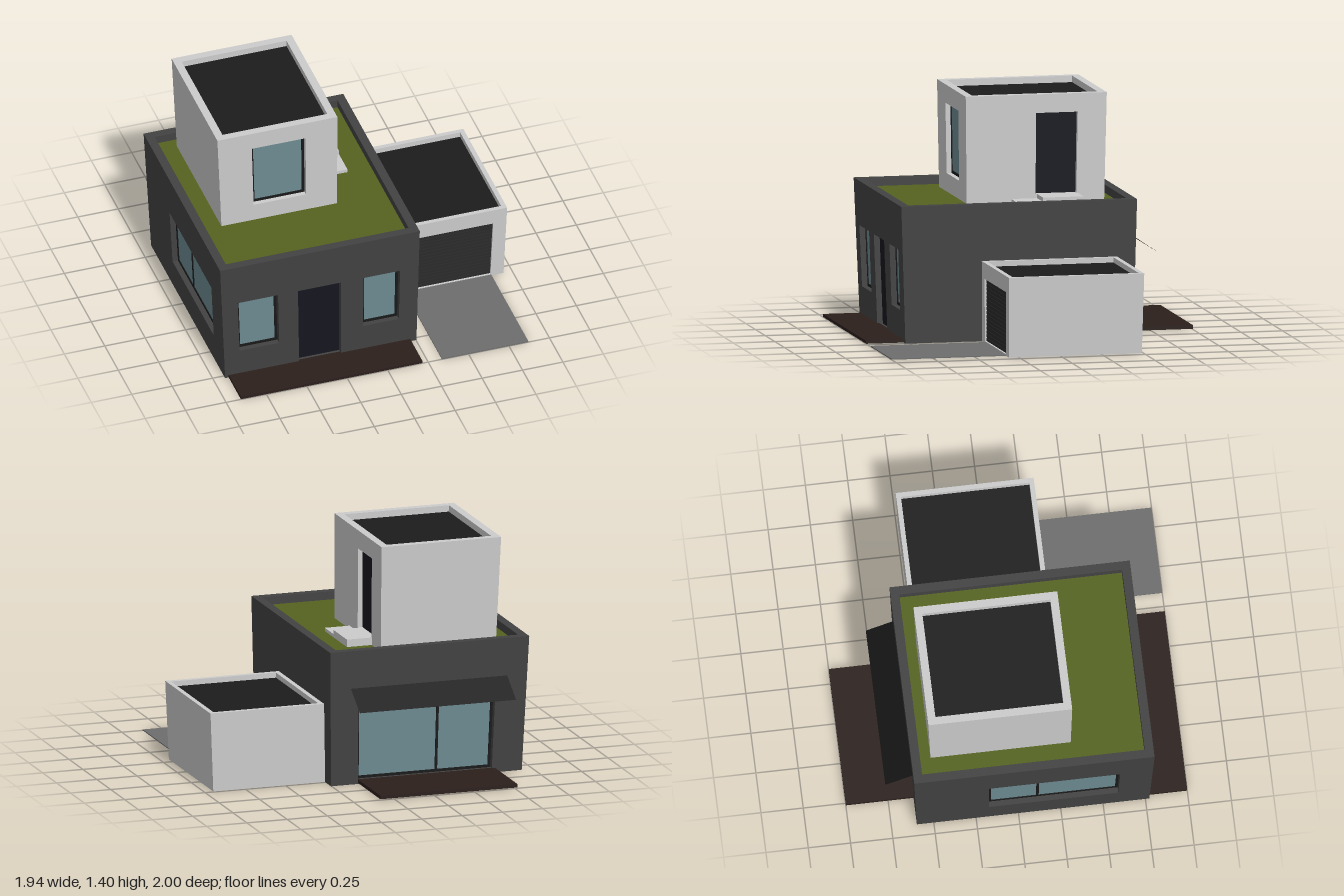
import * as THREE from 'three';

const mat = (color) => new THREE.MeshStandardMaterial({ color, flatShading: true });
const M = {
  light: mat(0xcccccc), dark: mat(0x424242), roof: mat(0x1c1c1c), grass: mat(0x54631f),
  frame: mat(0x191919), glass: mat(0x6d8b92), door: mat(0x15151f), shutter: mat(0x2b2b2b),
  deck: mat(0x2b1f1b), drive: mat(0x6d6d6d),
};

function addMesh(parent, geo, material, name) {
  const mesh = new THREE.Mesh(geo, material);
  mesh.name = name;
  parent.add(mesh);
  return mesh;
}

// Box given by its limits on each axis
function span(x0, x1, y0, y1, z0, z1) {
  return new THREE.BoxGeometry(x1 - x0, y1 - y0, z1 - z0)
    .translate((x0 + x1) / 2, (y0 + y1) / 2, (z0 + z1) / 2);
}

function rect(Type, u0, u1, v0, v1) {
  const r = new Type();
  r.moveTo(u0, v0);
  r.lineTo(u1, v0);
  r.lineTo(u1, v1);
  r.lineTo(u0, v1);
  r.closePath();
  return r;
}

// Geometries (in wall coordinates u, y, w) that fill one opening
function openingParts(o, t, out) {
  const wc = t / 2 - out * (t / 2 - 0.009);
  const bar = (u0, u1, v0, v1, h = 0.008) => span(u0, u1, v0, v1, wc - h, wc + h);
  const { u0, u1, v0, v1 } = o;
  if (o.kind === 'door') return [[bar(u0, u1, v0, v1), M.door, 'door']];
  if (o.kind === 'shutter') {
    const parts = [[bar(u0, u1, v0, v1, 0.005), M.shutter, 'garageDoor']];
    const n = 16, h = (v1 - v0) / n;
    for (let i = 0; i < n; i++) {
      parts.push([bar(u0, u1, v0 + i * h, v0 + (i + 0.75) * h), M.shutter, 'garageDoorSlat']);
    }
    return parts;
  }
  const f = 0.016;
  const parts = [
    [bar(u0, u1, v0, v1, 0.003), M.glass, 'windowGlass'],
    [bar(u0, u0 + f, v0, v1), M.frame, 'windowFrameSide'],
    [bar(u1 - f, u1, v0, v1), M.frame, 'windowFrameSide'],
    [bar(u0 + f, u1 - f, v0, v0 + f), M.frame, 'windowFrameBottom'],
    [bar(u0 + f, u1 - f, v1 - f, v1), M.frame, 'windowFrameTop'],
  ];
  if (o.mullion !== undefined) {
    parts.push([bar(o.mullion - f / 2, o.mullion + f / 2, v0 + f, v1 - f), M.frame, 'windowMullion']);
  }
  return parts;
}

// Hollow block with a parapet, sunken roof and walls leaning outwards towards the top
function block(name, b) {
  const g = new THREE.Group();
  g.name = name;
  const { x, y, z, t, lean, wall } = b;

  const taper = (geo) => {
    const p = geo.attributes.position;
    const map = (v, [a, c], [i, j], k) => a + i * k + ((v - a) / (c - a)) * (c - a - (i + j) * k);
    for (let n = 0; n < p.count; n++) {
      const k = (y[1] - p.getY(n)) / (y[1] - y[0]);
      p.setX(n, map(p.getX(n), x, lean.x, k));
      p.setZ(n, map(p.getZ(n), z, lean.z, k));
    }
    geo.computeVertexNormals();
    return geo;
  };

  const zIn = [z[0] + t, z[1] - t];
  const sides = [
    { key: 'front', u: x, out: 1, put: (q) => q.translate(0, 0, z[1] - t) },
    { key: 'back', u: x, out: -1, put: (q) => q.translate(0, 0, z[0]) },
    { key: 'left', u: zIn, out: -1, put: (q) => q.rotateY(-Math.PI / 2).translate(x[1], 0, 0) },
    { key: 'right', u: zIn, out: 1, put: (q) => q.rotateY(-Math.PI / 2).translate(x[0] + t, 0, 0) },
  ];
  for (const s of sides) {
    const openings = b[s.key] || [];
    const shape = rect(THREE.Shape, s.u[0], s.u[1], y[0], y[1]);
    openings.forEach((o) => shape.holes.push(rect(THREE.Path, o.u0, o.u1, o.v0, o.v1)));
    const geo = new THREE.ExtrudeGeometry(shape, { depth: t, bevelEnabled: false });
    // w points into the building on the left wall and out of it on the right wall
    const out = s.key === 'left' ? -1 : s.out;
    addMesh(g, taper(s.put(geo)), wall, s.key + 'Wall');
    for (const o of openings) {
      for (const [q, m, n] of openingParts(o, t, out)) addMesh(g, taper(s.put(q)), m, n);
    }
  }
  const inner = (y0, y1) => taper(span(x[0] + t, x[1] - t, y0, y1, z[0] + t, z[1] - t));
  addMesh(g, inner(y[0], y[0] + 0.008), wall, 'floor');
  addMesh(g, inner(b.roofY - 0.02, b.roofY), b.roof, 'roof');
  return g;
}

export function createModel() {
  const model = new THREE.Group();
  model.name = 'house';

  // Ground floor with planted roof
  model.add(block('groundFloor', {
    x: [-0.97, 0.265], y: [0, 0.813], z: [-0.62, 0.8], t: 0.052,
    lean: { x: [0.04, 0.012], z: [0.02, 0.027] }, wall: M.dark, roof: M.grass, roofY: 0.765,
    front: [
      { u0: -0.87, u1: -0.617, v0: 0.185, v1: 0.545 },
      { u0: -0.081, u1: 0.148, v0: 0.185, v1: 0.545 },
      { kind: 'door', u0: -0.492, u1: -0.222, v0: 0.015, v1: 0.545 },
    ],
    back: [{ u0: -0.775, u1: 0.09, v0: 0.025, v1: 0.55, mullion: -0.425 }],
    right: [{ u0: -0.18, u1: 0.605, v0: 0.185, v1: 0.545, mullion: 0.118 }],
  }));

  // Upper room
  model.add(block('upperRoom', {
    x: [-0.83, -0.088], y: [0.76, 1.4], z: [-0.52, 0.33], t: 0.047,
    lean: { x: [0.027, 0], z: [0.016, 0.006] }, wall: M.light, roof: M.roof, roofY: 1.362,
    front: [{ u0: -0.62, u1: -0.286, v0: 0.875, v1: 1.29 }],
    left: [{ kind: 'door', u0: -0.347, u1: -0.095, v0: 0.81, v1: 1.29 }],
  }));

  // Garage
  model.add(block('garage', {
    x: [0.262, 0.967], y: [0, 0.476], z: [-0.5, 0.315], t: 0.028,
    lean: { x: [-0.012, 0.021], z: [0.01, 0.005] }, wall: M.light, roof: M.roof, roofY: 0.445,
    front: [{ kind: 'shutter', u0: 0.335, u1: 0.885, v0: 0.01, v1: 0.38 }],
  }));

  // Steps from the upper door to the planted roof
  addMesh(model, span(-0.09, 0.066, 0.76, 0.81, -0.343, -0.1), M.light, 'upperStep');
  addMesh(model, span(-0.09, 0.066, 0.76, 0.785, -0.1, 0.055), M.light, 'lowerStep');

  // Decks and driveway
  addMesh(model, span(-0.908, 0.214, 0.001, 0.018, 0.76, 1), M.deck, 'frontDeck');
  addMesh(model, span(-0.765, 0.085, 0.005, 0.026, -1, -0.59), M.deck, 'backDeck');
  addMesh(model, span(0.335, 0.87, 0, 0.006, 0.3, 1), M.drive, 'driveway');

  // Thin sloping awning over the back window
  const drop = 0.11, reach = 0.162;
  const awning = new THREE.PlaneGeometry(0.97, Math.hypot(drop, reach));
  awning.rotateX(-Math.PI / 2 - Math.atan2(drop, reach)).translate(-0.35, 0.53, -0.613 - reach / 2);
  const cloth = mat(0x161616);
  cloth.side = THREE.DoubleSide;
  addMesh(model, awning, cloth, 'awning');

  return model;
}
